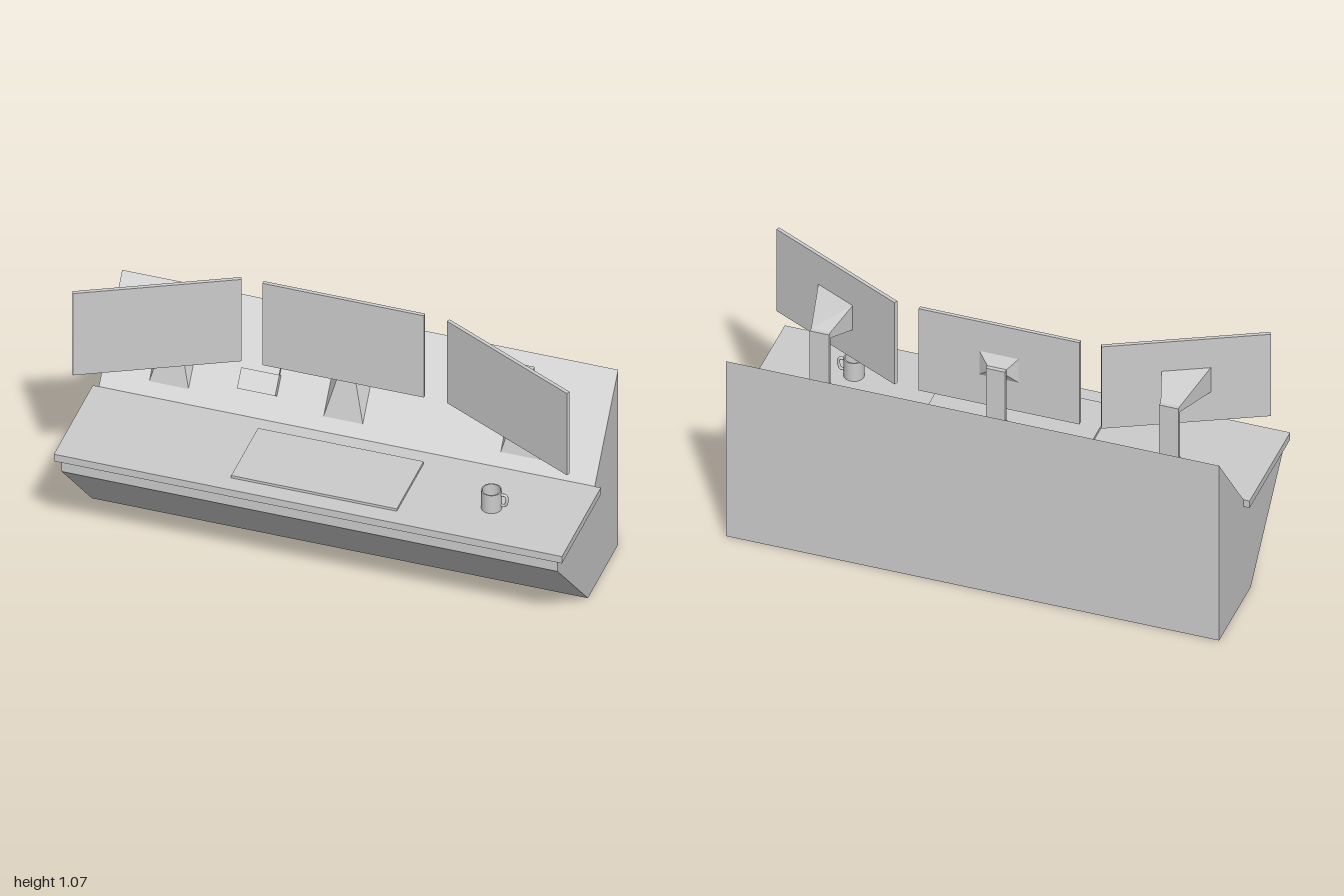
import * as THREE from 'three';
import { ConvexGeometry } from 'three/addons/geometries/ConvexGeometry.js';

const grey = new THREE.MeshStandardMaterial({ color: 0xcccccc });
const greyDouble = new THREE.MeshStandardMaterial({ color: 0xcccccc, side: THREE.DoubleSide });

function add(parent, name, geometry, x = 0, y = 0, z = 0, material = grey) {
  const mesh = new THREE.Mesh(geometry, material);
  mesh.name = name;
  mesh.position.set(x, y, z);
  parent.add(mesh);
  return mesh;
}

// Solid between two pairs of edges; each edge is [halfWidth, y, z]
function taper(edges, turn = 0, pivotZ = 0) {
  const axis = new THREE.Vector3(0, 1, 0);
  const points = [];
  for (const [w, y, z, turned] of edges) {
    for (const s of [-1, 1]) {
      const p = new THREE.Vector3(s * w, y, z);
      if (turned) {
        p.z -= pivotZ;
        p.applyAxisAngle(axis, turn);
        p.z += pivotZ;
      }
      points.push(p);
    }
  }
  return new ConvexGeometry(points);
}

// Screen on a post; turn angles the screen about its own centre
function createMonitor(name, x, screenZ, turn, plateHalf) {
  const monitor = new THREE.Group();
  monitor.name = name;
  monitor.position.x = x;
  const screen = add(monitor, 'screen', new THREE.BoxGeometry(0.636, 0.38, 0.015), 0, 0.88, screenZ);
  screen.rotation.y = turn;

  // foot lies on the sloped panel and narrows up to the post
  add(monitor, 'foot', taper([
    [0.077, 0.508, -0.125], [0.077, 0.633, -0.222],
    [0.038, 0.662, -0.162], [0.038, 0.662, -0.18],
  ]));
  add(monitor, 'post', new THREE.BoxGeometry(0.076, 0.232, 0.018), 0, 0.776, -0.171);

  // bracket widens from the post to the back of the screen
  const back = screenZ - 0.006;
  add(monitor, 'bracket', taper([
    [0.038, 0.866, -0.163], [0.038, 0.892, -0.163],
    [plateHalf, 0.822, back, true], [plateHalf, 0.936, back, true],
  ], turn, screenZ));
  return monitor;
}

function createMug() {
  const mug = new THREE.Group();
  mug.name = 'mug';
  mug.position.set(0.653, 0.463, 0.157);
  const profile = [[0, 0], [0.039, 0], [0.039, 0.083], [0.034, 0.083], [0.034, 0.008], [0, 0.008]];
  // separate rings keep the rims crisp
  for (let i = 0; i < profile.length - 1; i++) {
    const pair = [profile[i], profile[i + 1]].map(([r, y]) => new THREE.Vector2(r, y));
    add(mug, 'cup', new THREE.LatheGeometry(pair, 32), 0, 0, 0, greyDouble);
  }
  const path = new THREE.CatmullRomCurve3([
    [0.036, 0.067], [0.055, 0.067], [0.061, 0.056], [0.059, 0.034], [0.052, 0.021], [0.036, 0.02],
  ].map(([x, y]) => new THREE.Vector3(x, y, 0)));
  add(mug, 'handle', new THREE.TubeGeometry(path, 20, 0.006, 8));
  return mug;
}

function createRadio() {
  const radio = new THREE.Group();
  radio.name = 'radio';
  radio.position.set(-0.37, 0.57, -0.173);
  radio.rotation.x = -0.662;
  add(radio, 'case', new THREE.BoxGeometry(0.15, 0.08, 0.026), 0, 0, 0.013);
  add(radio, 'antenna', new THREE.CylinderGeometry(0.0018, 0.0018, 0.175, 8), 0.073, 0.12, 0.018);
  return radio;
}

export function createModel() {
  const model = new THREE.Group();
  model.name = 'controlDesk';

  // console body: side profile as [z, y], extruded across the width
  const profile = new THREE.Shape([
    [-0.363, 0], [-0.01, 0], [0.345, 0.375], [0.345, 0.432],
    [-0.09, 0.432], [-0.09, 0.463], [-0.363, 0.813],
  ].map(([z, y]) => new THREE.Vector2(-z, y)));
  const body = new THREE.ExtrudeGeometry(profile, { depth: 1.952, bevelEnabled: false });
  body.translate(0, 0, -0.976).rotateY(Math.PI / 2);
  add(model, 'consoleBody', body);

  add(model, 'desktop', new THREE.BoxGeometry(2, 0.032, 0.454), 0, 0.447, 0.137);
  add(model, 'deskMat', new THREE.BoxGeometry(0.652, 0.011, 0.313), 0, 0.4685, 0.136);

  model.add(createMonitor('centreMonitor', -0.026, -0.131, 0, 0.08));
  model.add(createMonitor('rightMonitor', -0.712, 0.014, 0.465, 0.093));
  model.add(createMonitor('leftMonitor', 0.671, 0.016, -0.465, 0.093));
  model.add(createMug(), createRadio());
  return model;
}
